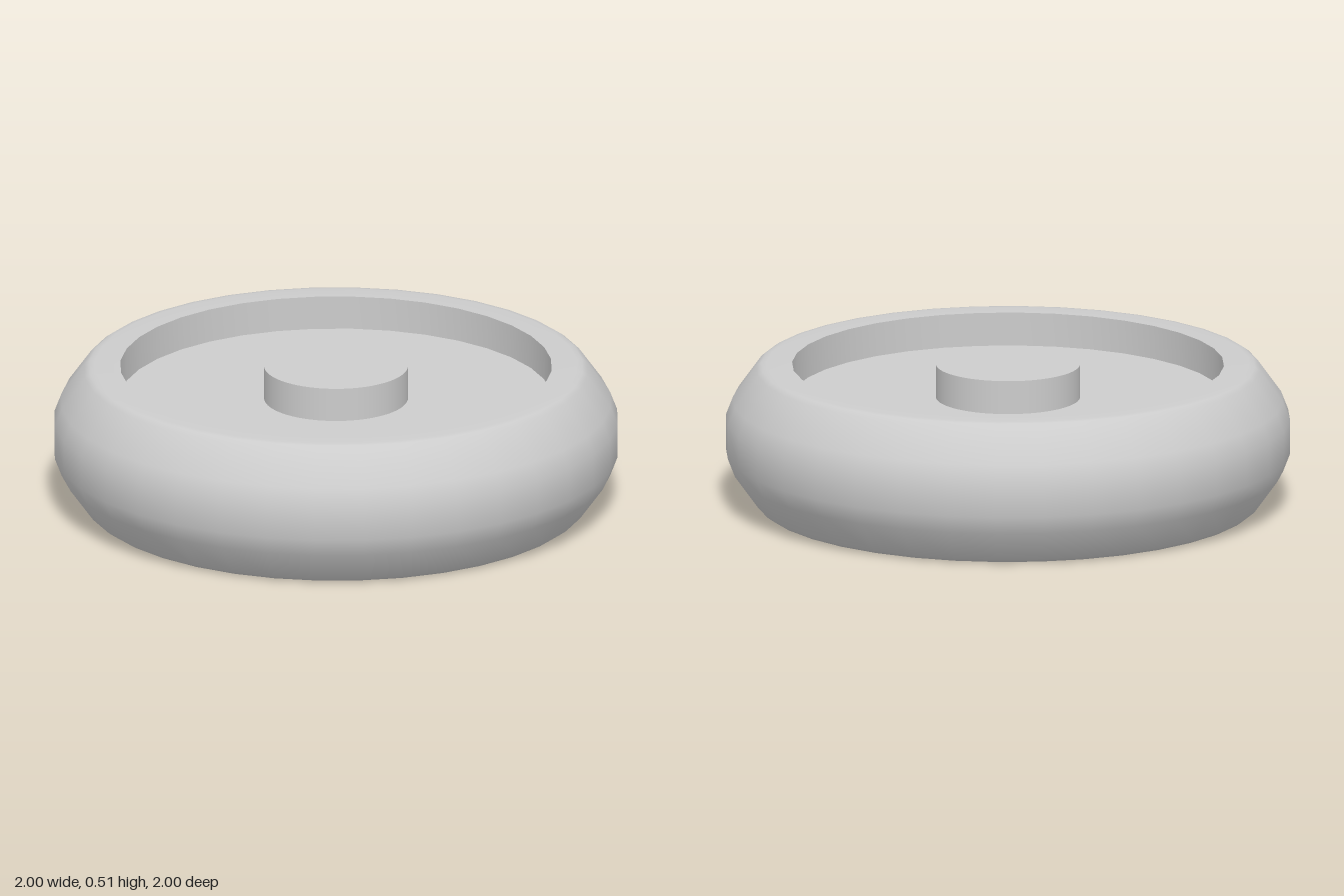
import * as THREE from 'three';
import { toCreasedNormals } from 'three/addons/utils/BufferGeometryUtils.js';

const H = 0.51;          // full width of the wheel
const RECESS = 0.12;     // depth of the dish on each face
const INNER = 0.765;     // inner radius of the rim

export function createModel() {
  const group = new THREE.Group();
  const grey = new THREE.MeshStandardMaterial({ color: 0xcccccc });
  grey.name = 'light grey';

  const add = (name, geometry, y = 0) => {
    const mesh = new THREE.Mesh(geometry, grey);
    mesh.name = name;
    mesh.position.y = y;
    group.add(mesh);
  };

  // Tyre: half profile mirrored about mid height, closed by the inner walls
  const half = [[INNER, 0], [0.855, 0], [0.875, 0.003], [0.893, 0.016], [0.975, 0.13], [1, 0.195]];
  const upper = half.map(([r, y]) => [r, H - y]).reverse();
  const profile = [...half, ...upper, half[0]].map(([r, y]) => new THREE.Vector2(r, y));
  add('tyre', toCreasedNormals(new THREE.LatheGeometry(profile, 36), 0.7));

  // Recessed disc closing the middle
  add('disc', new THREE.CylinderGeometry(INNER, INNER, H - 2 * RECESS, 36), H / 2);

  // Hub, flush with the tyre faces on both sides
  add('hub', new THREE.CylinderGeometry(0.255, 0.255, H, 64), H / 2);

  return group;
}
